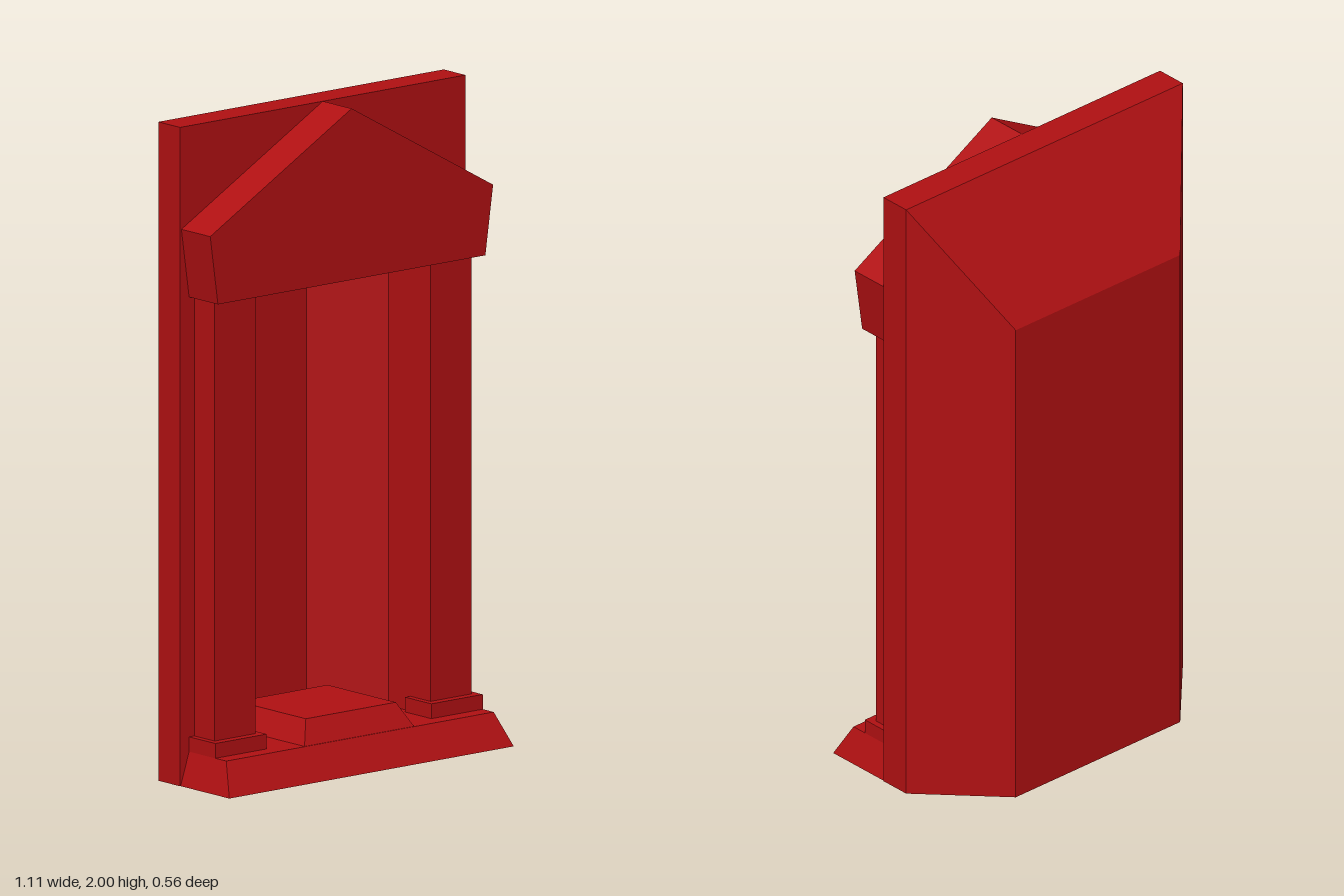
import * as THREE from 'three';
import { ConvexGeometry } from 'three/addons/geometries/ConvexGeometry.js';

const material = new THREE.MeshStandardMaterial({ color: 0xb01012, flatShading: true });

function add(group, name, geometry) {
  const mesh = new THREE.Mesh(geometry, material);
  mesh.name = name;
  group.add(mesh);
  return mesh;
}

// Box given by its limits on each axis
function block(x0, x1, y0, y1, z0, z1) {
  return new THREE.BoxGeometry(x1 - x0, y1 - y0, z1 - z0)
    .translate((x0 + x1) / 2, (y0 + y1) / 2, (z0 + z1) / 2);
}

const polygon = (points) => new THREE.Shape(points.map(([x, y]) => new THREE.Vector2(x, y)));

function extrude(shape, z0, z1) {
  return new THREE.ExtrudeGeometry(shape, { depth: z1 - z0, bevelEnabled: false }).translate(0, 0, z0);
}

// Convex solid from points on the +x side, mirrored to -x
function mirroredHull(points) {
  return new ConvexGeometry(points.flatMap(([x, y, z]) => [
    new THREE.Vector3(x, y, z), new THREE.Vector3(-x, y, z),
  ]));
}

export function createModel() {
  const model = new THREE.Group();
  model.name = 'columnedNiche';
  const front = 0.055, back = -0.045, ceiling = 1.5, floor = 0.1;

  // Front panel with the niche opening
  const panel = polygon([[-0.555, 0], [0.555, 0], [0.555, 2], [-0.555, 2]]);
  panel.holes.push(polygon([[-0.34, floor], [-0.34, ceiling], [0.34, ceiling], [0.34, floor]]));
  add(model, 'frontPanel', extrude(panel, back, front));

  // Hollow, open-bottomed walls behind the panel (plan drawn as x, -z)
  const walls = polygon([
    [0.555, -back], [0.33, 0.28], [-0.33, 0.28], [-0.555, -back],
    [-0.34, -back], [-0.195, 0.25], [0.195, 0.25], [0.34, -back],
  ]);
  add(model, 'nicheWalls', extrude(walls, 0, ceiling).rotateX(-Math.PI / 2));

  // Sloping roof closing the walls
  add(model, 'slopingRoof', mirroredHull([
    [0.555, ceiling, back], [0.33, ceiling, -0.28], [0.33, 1.6, -0.28], [0.555, 2, back],
  ]));

  // Gabled pediment
  add(model, 'pediment', extrude(polygon([
    [-0.52, 1.48], [0.52, 1.48], [0.55, 1.69], [0, 2], [-0.55, 1.69],
  ]), front, 0.187));

  // Plinth with sloped front and ends
  add(model, 'plinth', mirroredHull([
    [0.553, 0, front], [0.553, 0, 0.278], [0.52, floor, front], [0.52, floor, 0.225],
  ]));

  // Raised step running into the niche
  add(model, 'step', mirroredHull([
    [0.213, floor, -0.13], [0.213, floor, 0.222], [0.175, 0.172, -0.13], [0.175, 0.172, 0.183],
  ]));

  // Columns on square feet
  for (const side of [-1, 1]) {
    const column = new THREE.Group();
    column.name = side > 0 ? 'leftColumn' : 'rightColumn';
    const c = side * 0.42;
    add(column, 'shaft', block(c - 0.08, c + 0.08, floor, 1.48, front, 0.148));
    add(column, 'foot', block(c - 0.1, c + 0.1, floor, 0.145, front, 0.175));
    model.add(column);
  }
  return model;
}
